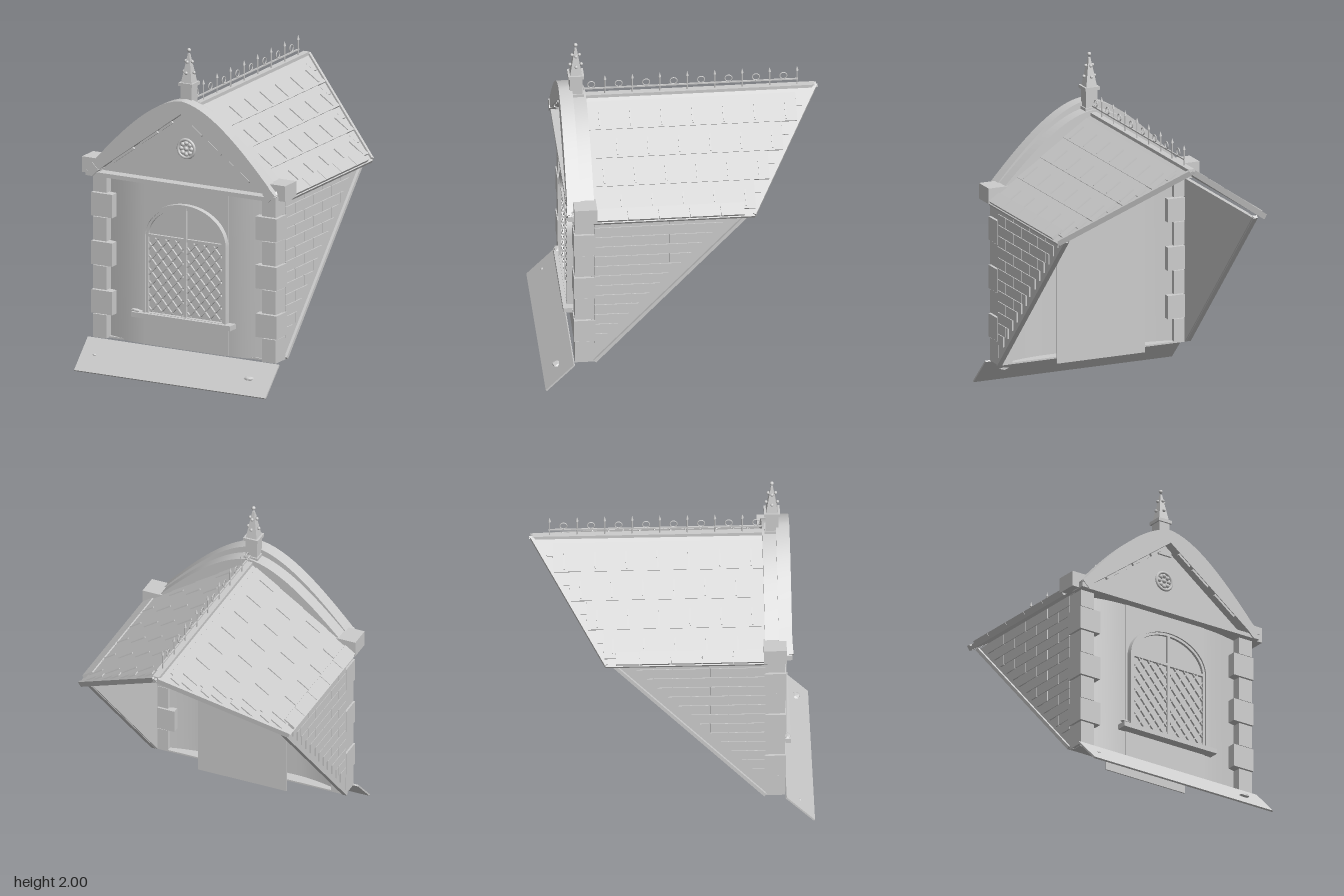
import * as THREE from 'three';
import { toCreasedNormals } from 'three/addons/utils/BufferGeometryUtils.js';

const stone = new THREE.MeshStandardMaterial({ color: 0xcccccc });
stone.name = 'grey stone';
const V = (x, y, z) => new THREE.Vector3(x, y, z);

function add(parent, name, geometry, x = 0, y = 0, z = 0) {
  const m = new THREE.Mesh(geometry, stone);
  m.name = name;
  m.position.set(x, y, z);
  parent.add(m);
  return m;
}
// Box given by its limits on each axis
function block(parent, name, x0, x1, y0, y1, z0, z1) {
  return add(parent, name, new THREE.BoxGeometry(x1 - x0, y1 - y0, z1 - z0),
    (x0 + x1) / 2, (y0 + y1) / 2, (z0 + z1) / 2);
}
// Square bar between two points, in the parent's own axes
function bar(parent, name, a, b, w, h) {
  const m = add(parent, name, new THREE.BoxGeometry(w, h, a.distanceTo(b)));
  m.position.copy(a).lerp(b, 0.5);
  m.quaternion.setFromRotationMatrix(new THREE.Matrix4().lookAt(b, a, V(0, 1, 0)));
  return m;
}
function group(parent, name) {
  const g = new THREE.Group();
  g.name = name;
  parent.add(g);
  return g;
}
const extrude = (shape, depth) => new THREE.ExtrudeGeometry(shape, { depth, bevelEnabled: false, curveSegments: 20 });
const polygon = pts => new THREE.Shape(pts.map(p => new THREE.Vector2(...p)));
// Sloping plane that cuts the back of the dormer
const cutZ = y => 0.54 - 0.932 * (y - 0.17);

function sideWall(parent) {
  const g = group(parent, 'sideWall');
  const wall = extrude(polygon([[-0.56, 0.17], [-0.54, 0.17], [0.39, 1.17], [-0.56, 1.17]]), 0.02);
  wall.rotateY(Math.PI / 2);
  add(g, 'wallPanel', wall, 0.593, 0, 0);
  bar(g, 'wallEdgeTrim', V(0.615, 0.18, 0.54), V(0.615, 1.17, -0.383), 0.03, 0.02);
  // stepped brick courses
  const h = 0.0667;
  for (let i = 1; i < 15; i++) {
    const y = 0.17 + i * h, end = cutZ(y) + 0.05;
    for (let z = 0.54 + (i % 2) * 0.11; z > end; z -= 0.22) {
      const z1 = Math.min(z, 0.54), z0 = Math.max(z - 0.214, end);
      if (z1 - z0 > 0.02) block(g, 'brick', 0.61, 0.622, y, y + h - 0.004, z0, z1);
    }
  }
  // corner quoins, narrow and wide in turn
  for (let i = 0; i < 7; i++) {
    const y = 0.17 + i * 0.148, wide = i % 2, top = Math.min(y + 0.145, 1.17);
    block(g, 'quoin', wide ? 0.483 : 0.525, wide ? 0.625 : 0.617, y + 0.003, top, wide ? 0.535 : 0.54, wide ? 0.662 : 0.656);
  }
  // corner block, with a turned stone where the arch lands
  block(g, 'cornerBlock', 0.56, 0.685, 1.17, 1.265, 0.53, 0.665);
  add(g, 'archFoot', new THREE.BoxGeometry(0.06, 0.06, 0.14), 0.595, 1.207, 0.634).rotation.z = Math.PI / 4;
}

function roofSide(parent) {
  const g = group(parent, 'roofSide');
  const L = Math.hypot(0.68, 0.47);
  g.position.y = 1.64;
  g.rotation.z = -Math.atan2(0.47, 0.68);
  const cut = u => -0.83 + 0.43 * u / L;
  const slab = extrude(polygon([[0, 0.55], [0, -0.83], [L, -0.4], [L, 0.55]]), 0.02);
  slab.rotateX(Math.PI / 2);
  add(g, 'roofSlab', slab);
  bar(g, 'vergeTrim', V(0.012, -0.005, -0.814), V(L - 0.01, -0.005, -0.398), 0.018, 0.034);
  // overlapping tile courses with staggered joints
  const step = 0.182;
  for (let k = 0; k < 4; k++) {
    const u = 0.05 + k * step, end = cut(u) + 0.11;
    block(g, 'tileCourse', u, u + step, -0.004, 0.008, end, 0.54).rotation.z = 0.022;
    for (let z = 0.47 - (k % 2) * 0.0915; z > end + 0.02; z -= 0.183)
      block(g, 'tileJoint', u + 0.06, u + step - 0.015, 0.003, 0.015, z - 0.004, z + 0.004);
    for (let i = 0; i < 2; i++)
      block(g, 'vergeTile', u + i * 0.09 + 0.02, u + i * 0.09 + 0.085, 0, 0.008, cut(u + i * 0.09) + 0.075, end);
  }
  // eaves stones
  for (let z = 0.53; z > -0.3; z -= 0.183)
    block(g, 'eavesTile', L - 0.085, L - 0.007, -0.015, 0.018, Math.max(z - 0.179, -0.34), z);
}

function windowUnit(parent) {
  const g = group(parent, 'window');
  g.position.set(0.01, 0, 0.035);
  const arch = (r, top, bottom, Type = THREE.Shape) => {
    const s = new Type();
    s.moveTo(-r, bottom);
    s.lineTo(r, bottom);
    s.lineTo(r, 0.84);
    s.absellipse(0, 0.84, r, top - 0.84, 0, Math.PI, false);
    s.lineTo(-r, bottom);
    return s;
  };
  const ring = (r, t, depth) => {
    const s = arch(r, 0.78 + r, 0.37);
    s.holes.push(arch(r - t, 0.78 + r - t, 0.375, THREE.Path));
    return toCreasedNormals(extrude(s, depth), 0.6);
  };
  add(g, 'outerFrame', ring(0.28, 0.017, 0.04), 0, 0, 0.6);
  add(g, 'innerFrame', ring(0.265, 0.017, 0.03), 0, 0, 0.6);
  add(g, 'pane', extrude(arch(0.265, 1.045, 0.37), 0.008), 0, 0, 0.605);
  block(g, 'mullion', -0.009, 0.009, 0.37, 1.04, 0.608, 0.632);
  block(g, 'transom', -0.255, 0.255, 0.835, 0.852, 0.608, 0.63);
  // diamond lattice, clipped to each casement
  const y0 = 0.38, y1 = 0.835, w = 0.24, slope = 1.15;
  for (const s of [-1, 1]) for (const d of [-1, 1])
    for (let c = -0.25; c < 0.5; c += 0.0785) {
      const lo = Math.max(0, -c / slope), hi = Math.min(w, (y1 - y0 - c) / slope);
      if (hi - lo < 0.01) continue;
      const p = t => V(s * 0.129 + d * (t - w / 2), y0 + c + slope * t, 0.617);
      bar(g, 'latticeBar', p(lo), p(hi), 0.018, 0.008);
    }
}

function gable(parent) {
  const g = group(parent, 'gable');
  add(g, 'pediment', extrude(polygon([[-0.62, 1.17], [0.62, 1.17], [0, 1.63]]), 0.06), 0, 0, 0.57);
  // arched coping over the straight pediment
  const s = new THREE.Shape();
  s.moveTo(-0.64, 1.2);
  s.bezierCurveTo(-0.42, 1.45, -0.2, 1.68, 0, 1.7);
  s.bezierCurveTo(0.2, 1.68, 0.42, 1.45, 0.64, 1.2);
  s.lineTo(0.58, 1.19);
  s.lineTo(0, 1.62);
  s.lineTo(-0.58, 1.19);
  add(g, 'archCoping', toCreasedNormals(extrude(s, 0.08), 0.5), 0, 0, 0.62);
  const back = extrude(s, 0.085);
  back.translate(0, -1.2, 0);
  back.scale(1, 0.93, 1);
  add(g, 'archBacking', toCreasedNormals(back, 0.5), 0, 1.195, 0.54);
  for (const d of [-1, 1]) {
    for (const [a, b] of [[0.46, 0.32], [0.27, 0.16], [0.14, 0.06]])
      bar(g, 'pedimentMoulding', V(d * a, 1.608 - 0.741 * a, 0.69), V(d * b, 1.608 - 0.741 * b, 0.69), 0.016, 0.014);
    block(g, 'corniceEnd', d * 0.62 - 0.02, d * 0.62 + 0.02, 1.165, 1.195, 0.6, 0.7);
  }
  block(g, 'cornice', -0.62, 0.62, 1.165, 1.19, 0.54, 0.695);
  // rosette
  add(g, 'rosetteRing', new THREE.TorusGeometry(0.055, 0.009, 8, 28), 0, 1.395, 0.632);
  for (let i = 0; i < 8; i++) {
    const a = i * Math.PI / 4;
    add(g, 'rosettePetal', new THREE.SphereGeometry(0.014, 8, 6), Math.cos(a) * 0.034, 1.395 + Math.sin(a) * 0.034, 0.63);
  }
  add(g, 'rosetteCentre', new THREE.SphereGeometry(0.014, 8, 6), 0, 1.395, 0.632);
}

function finial(parent) {
  const g = group(parent, 'finial');
  g.position.z = 0.598;
  block(g, 'finialBase', -0.045, 0.045, 1.56, 1.67, -0.045, 0.045);
  block(g, 'finialShaft', -0.037, 0.037, 1.66, 1.78, -0.037, 0.037);
  block(g, 'finialCollar', -0.047, 0.047, 1.775, 1.795, -0.047, 0.047);
  const spire = new THREE.CylinderGeometry(0.008, 0.05, 0.175, 4);
  spire.rotateY(Math.PI / 4);
  add(g, 'finialSpire', toCreasedNormals(spire, 0.3), 0, 1.88, 0);
  add(g, 'finialBall', new THREE.SphereGeometry(0.012, 12, 8), 0, 1.988, 0);
  for (const [y, r] of [[1.855, 0.034], [1.92, 0.022]])
    for (let i = 0; i < 4; i++)
      add(g, 'crocket', new THREE.SphereGeometry(0.01, 8, 6), r * Math.cos(i * Math.PI / 2), y, r * Math.sin(i * Math.PI / 2));
}

function ridgeCresting(parent) {
  const g = group(parent, 'ridgeCresting');
  block(g, 'ridgeCap', -0.02, 0.02, 1.62, 1.646, -0.81, 0.55);
  block(g, 'ridgeRail', -0.004, 0.004, 1.677, 1.685, -0.715, 0.55);
  for (let i = 0; i < 8; i++) {
    const z = 0.425 - i * 0.162;
    add(g, 'spikePost', new THREE.CylinderGeometry(0.004, 0.004, 0.11, 6), 0, 1.695, z);
    add(g, 'spikeTip', new THREE.ConeGeometry(0.009, 0.03, 6), 0, 1.755, z);
    add(g, 'crestRing', new THREE.TorusGeometry(0.021, 0.0035, 6, 16), 0, 1.707, z + 0.081).rotation.y = Math.PI / 2;
  }
}

export function createModel() {
  const model = new THREE.Group();
  model.name = 'dormer';
  const left = group(model, 'leftHalf'), right = group(model, 'rightHalf');
  right.scale.x = -1;
  for (const half of [left, right]) {
    sideWall(half);
    roofSide(half);
  }
  // front wall, curving out from the quoins to a flat middle panel
  const plan = [], n = 32;
  const bow = x => 0.595 + 0.04 * Math.cos(Math.max(0, Math.abs(x) - 0.285) / 0.255 * Math.PI / 2);
  for (let i = 0; i <= n; i++) { const x = -0.54 + 1.08 * i / n; plan.push([x, -bow(x)]); }
  for (let i = n; i >= 0; i--) { const x = -0.54 + 1.08 * i / n; plan.push([x, -bow(x) + 0.03]); }
  const front = extrude(polygon(plan), 1.0);
  front.rotateX(-Math.PI / 2);
  add(model, 'frontWall', toCreasedNormals(front, 0.5), 0, 0.17, 0);
  block(model, 'middlePanel', -0.285, 0.285, 0.17, 1.168, 0.62, 0.64);
  block(model, 'floorLedge', -0.6, 0.6, 0.17, 0.18, 0.54, 0.62);
  block(model, 'backBoard', -0.285, 0.285, 0.17, 1.14, 0.436, 0.444);
  block(model, 'windowSill', -0.335, 0.335, 0.343, 0.373, 0.61, 0.7);
  windowUnit(model);
  gable(model);
  finial(model);
  ridgeCresting(model);
  // sloping foot board with loose stones
  bar(model, 'footBoard', V(0, 0.004, 0.828), V(0, 0.17, 0.662), 1.29, 0.01);
  const pebble = (x, y, z, a, b, c) =>
    add(model, 'looseStone', new THREE.IcosahedronGeometry(1, 0), x, y, z).scale.set(a, b, c);
  pebble(0.49, 0.09, 0.75, 0.036, 0.013, 0.034);
  pebble(-0.555, 0.092, 0.745, 0.013, 0.008, 0.012);
  pebble(0.615, 1.2, 0.665, 0.028, 0.03, 0.033);
  pebble(-0.315, 0.382, 0.68, 0.034, 0.01, 0.02);
  return model;
}
